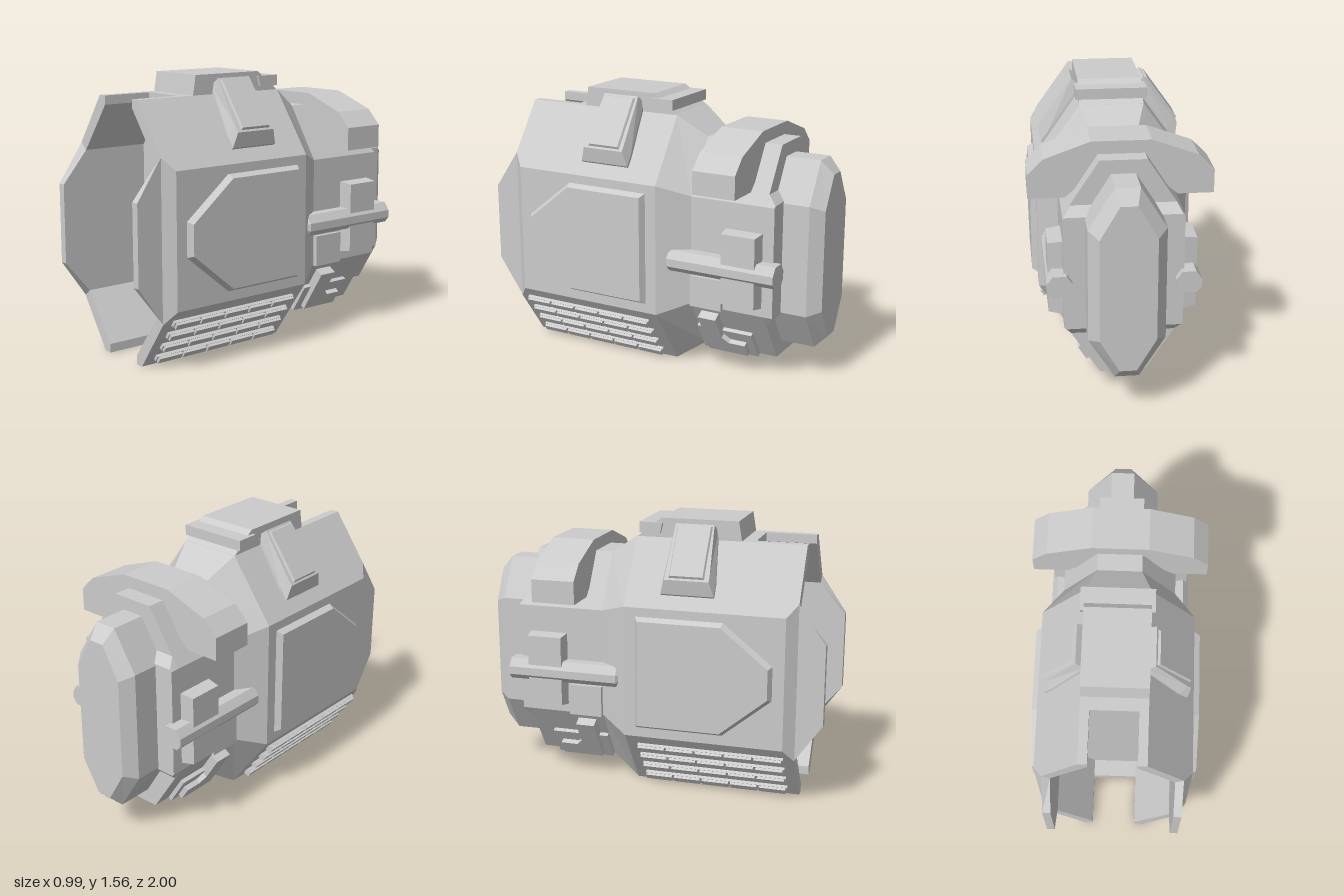
import * as THREE from 'three';

const material = new THREE.MeshStandardMaterial({ color: 0xcccccc, flatShading: true });

// Joins counter-clockwise outlines [z, [[x, y], ...]] in order of rising z and caps both ends
function loft(rings) {
  const n = rings[0][1].length, pos = [], idx = [];
  rings.forEach(([z, pts]) => pts.forEach(([x, y]) => pos.push(x, y, z)));
  for (let r = 0; r < rings.length - 1; r++) {
    for (let i = 0; i < n; i++) {
      const j = (i + 1) % n, a = r * n + i, b = r * n + j;
      idx.push(a, b, b + n, a, b + n, a + n);
    }
  }
  const cap = pts => THREE.ShapeUtils.triangulateShape(pts.map(p => new THREE.Vector2(...p)), []);
  cap(rings[0][1]).forEach(([a, b, c]) => idx.push(a, c, b));
  const last = (rings.length - 1) * n;
  cap(rings[rings.length - 1][1]).forEach(([a, b, c]) => idx.push(a + last, b + last, c + last));
  const indexed = new THREE.BufferGeometry();
  indexed.setAttribute('position', new THREE.Float32BufferAttribute(pos, 3));
  indexed.setIndex(idx);
  const g = indexed.toNonIndexed();
  g.computeVertexNormals();
  return g;
}

// Turns a [z, y] outline so it runs counter-clockwise as seen from +x
function orient(pts) {
  const flat = pts.map(([z, y]) => new THREE.Vector2(-z, y));
  if (THREE.ShapeUtils.area(flat) < 0) flat.reverse();
  return flat.map(v => [v.x, v.y]);
}

// Outlines given as [x, [[z, y], ...]] and lofted towards +x
const sideLoft = rings => loft(rings.map(([x, pts]) => [x, orient(pts)])).rotateY(Math.PI / 2);

const rect = (z0, z1, y0, y1) => [[z0, y0], [z1, y0], [z1, y1], [z0, y1]];

// Symmetric octagon: flat half-width, full half-width, and four heights
const octagon = (xf, xw, y0, y1, y2, y3) =>
  [[xf, y0], [xw, y1], [xw, y2], [xf, y3], [-xf, y3], [-xw, y2], [-xw, y1], [-xf, y0]];

function add(parent, name, geometry) {
  const m = new THREE.Mesh(geometry, material);
  m.name = name;
  parent.add(m);
}

function box(parent, name, [x0, x1], [y0, y1], [z0, z1]) {
  const g = new THREE.BoxGeometry(x1 - x0, y1 - y0, z1 - z0);
  add(parent, name, g.translate((x0 + x1) / 2, (y0 + y1) / 2, (z0 + z1) / 2));
}

// Frame lying on a sloping face: x is outward, y runs up the face
function slope(parent, name, x, y, angle) {
  const g = new THREE.Group();
  g.name = name;
  g.position.set(x, y, 0);
  g.rotation.z = angle;
  parent.add(g);
  return g;
}

function buildSide(name) {
  const side = new THREE.Group();
  side.name = name;

  // Hollow front shell with chamfered side wall
  const shell = (w, lo, hi) => [[0.13, 0], [0.18, 0], [w, lo], [w, hi], [0.18, 1.45], [0.13, 1.45],
    [0.13, 1.4], [0.335, 1.13], [0.335, 0.32], [0.13, 0.05]];
  add(side, 'frontShell', loft([
    [0.46, shell(0.43, 0.35, 1.1)], [0.79, shell(0.43, 0.35, 1.1)], [0.85, shell(0.38, 0.28, 1.17)]]));

  // Fin reaching forward from the shell, its root trimmed to the sloping walls
  const fin = (lo, hi) => [[0.84, lo], [0.85, lo], [1, 0.5], [1, 0.95], [0.85, hi], [0.84, hi]];
  add(side, 'frontFin', sideLoft([[0.335, fin(0.32, 1.13)], [0.38, fin(0.285, 1.17)]]));

  // Bevelled side panel
  add(side, 'sidePanel', sideLoft([
    [0.42, [[-0.055, 0.4], [-0.055, 1.055], [0.45, 1.055], [0.73, 0.83], [0.73, 0.63], [0.45, 0.4]]],
    [0.465, [[-0.03, 0.425], [-0.03, 1.03], [0.44, 1.03], [0.705, 0.815], [0.705, 0.645], [0.44, 0.425]]]]));

  // Pod on the upper slope, widening downwards
  const pod = slope(side, 'upperPod', 0.18, 1.45, 0.62);
  const podBase = [[0.385, -0.345], [0.085, -0.345], [0.085, -0.27], [0.11, 0.05], [0.35, 0.05], [0.385, -0.27]];
  const podTop = [[0.36, -0.285], [0.11, -0.285], [0.11, -0.25], [0.12, 0.055], [0.34, 0.055], [0.36, -0.25]];
  add(pod, 'podBody', sideLoft([[-0.02, podBase], [0.015, podBase], [0.075, podTop]]));
  add(pod, 'podPanel', sideLoft([
    [0.07, rect(0.335, 0.13, -0.275, 0.045)], [0.088, rect(0.325, 0.14, -0.265, 0.035)]]));

  // Segmented louvres on the lower slope
  const louvres = slope(side, 'louvres', 0.18, 0, -0.62);
  for (let row = 0; row < 4; row++) {
    const y = 0.065 + row * 0.094;
    box(louvres, 'louvreRail', [-0.01, 0.018], [y - 0.018, y + 0.018], [-0.05, 0.79]);
    for (let i = 0; i < 5; i++) {
      const z = -0.045 + i * 0.168;
      box(louvres, 'louvreBlock', [0, 0.034], [y - 0.02, y + 0.016], [z, z + 0.155]);
    }
  }

  // Side rod with tapered front tip, and its clamp
  const rod = [[0.3, 0.615], [0.385, 0.615], [0.412, 0.645], [0.412, 0.69], [0.38, 0.735], [0.305, 0.735],
    [0.275, 0.69], [0.275, 0.645]];
  const tip = rod.map(([x, y]) => [0.345 + (x - 0.345) * 0.5, 0.675 + (y - 0.675) * 0.4]);
  add(side, 'sideRod', loft([[-0.82, rod], [-0.175, rod], [-0.14, tip]]));
  add(side, 'rodClamp', sideLoft([
    [0.3, rect(-0.495, -0.715, 0.465, 0.89)], [0.325, rect(-0.495, -0.715, 0.465, 0.89)],
    [0.4, rect(-0.505, -0.705, 0.48, 0.88)]]));
  box(side, 'neckPlate', [0.3, 0.345], [0.41, 0.59], [-0.48, -0.285]);

  // Stepped fitting on the lower neck
  const fitting = slope(side, 'lowerFitting', 0.125, 0.11, -0.5615);
  box(fitting, 'fittingBase', [-0.03, 0.025], [0, 0.19], [-0.625, -0.285]);
  const pipe = [[-0.335, 0.03], [-0.58, 0.03], [-0.58, 0.12], [-0.48, 0.12], [-0.445, 0.16], [-0.445, 0.315],
    [-0.335, 0.315]];
  add(fitting, 'fittingPipe', sideLoft([[-0.01, pipe], [0.055, pipe]]));
  return side;
}

export function createModel() {
  const model = new THREE.Group();
  model.name = 'model';

  // Main body and tapering neck, its side walls running on past the rear
  const full = octagon(0.18, 0.43, 0, 0.35, 1.1, 1.45);
  const neck = octagon(0.125, 0.32, 0.11, 0.415, 1.04, 1.34);
  add(model, 'hull', loft([
    [-0.78, octagon(0.31, 0.32, 0.405, 0.415, 1.04, 1.05)],
    [-0.73, octagon(0.28, 0.32, 0.355, 0.415, 1.04, 1.1)],
    [-0.73, neck], [-0.28, neck], [-0.115, full], [0.46, full]]));

  // Rear cap
  const cap = octagon(0.065, 0.205, 0.19, 0.415, 1.04, 1.265);
  add(model, 'rearCap', loft([
    [-1, octagon(0.045, 0.15, 0.26, 0.44, 1.01, 1.19)], [-0.93, cap], [-0.72, cap]]));

  // Bridges behind the front notches
  box(model, 'lowerBridge', [-0.13, 0.13], [0, 0.05], [0.46, 0.56]);
  box(model, 'upperBridge', [-0.13, 0.13], [1.4, 1.45], [0.46, 0.56]);

  // Arched collar over the neck
  const half = [[0.1, 1.28], [0.3, 1.105], [0.495, 1.105], [0.495, 1.235], [0.41, 1.32], [0.16, 1.41]];
  const collar = [...half, ...half.map(([x, y]) => [-x, y]).reverse()];
  add(model, 'collar', loft([[-0.63, collar], [-0.38, collar]]));

  // Roof block and rear crossbar
  const roof = [[-0.11, 1.44], [0.49, 1.44], [0.47, 1.56], [0.03, 1.56], [-0.11, 1.45]];
  add(model, 'roofBlock', sideLoft([[-0.18, roof], [0.18, roof]]));
  const bar = [[0.04, 1.535], [-0.095, 1.535], [-0.095, 1.475], [0.025, 1.475]];
  add(model, 'crossbar', sideLoft([[-0.2, bar], [0.2, bar]]));

  // Mirrored sides
  const mirrored = buildSide('rightSide');
  mirrored.scale.x = -1;
  model.add(buildSide('leftSide'), mirrored);
  return model;
}
